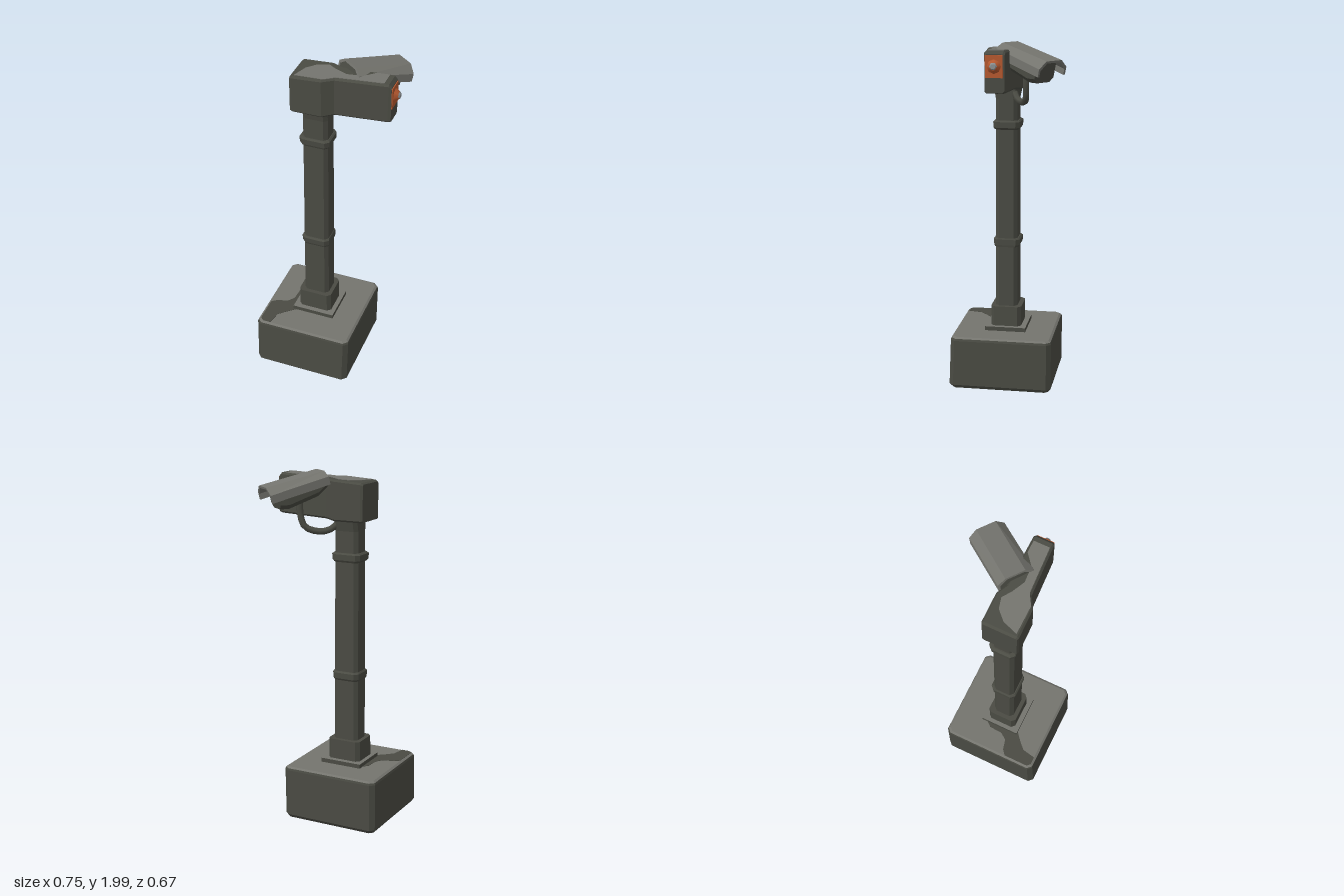
import * as THREE from 'three';

const paint = (name, color) => {
  const m = new THREE.MeshStandardMaterial({ color });
  m.name = name;
  return m;
};

// Chamfered rectangular sections [t, u0, u1, v0, v1, chamfer] joined along an axis.
// (t, u, v) is (x, y, z), (y, z, x) or (z, x, y).
function loft(axis, sections) {
  const place = { x: (t, u, v) => [t, u, v], y: (t, u, v) => [v, t, u], z: (t, u, v) => [u, v, t] }[axis];
  const rings = sections.map(([t, u0, u1, v0, v1, c]) => [
    [u1, v0 + c], [u1, v1 - c], [u1 - c, v1], [u0 + c, v1],
    [u0, v1 - c], [u0, v0 + c], [u0 + c, v0], [u1 - c, v0],
  ].map(([u, v]) => place(t, u, v)));
  const pos = [];
  const tri = (a, b, c) => pos.push(...a, ...b, ...c);
  for (let k = 0; k < rings.length - 1; k++) {
    const a = rings[k], b = rings[k + 1];
    for (let i = 0; i < 8; i++) {
      const j = (i + 1) % 8;
      tri(a[i], a[j], b[j]);
      tri(a[i], b[j], b[i]);
    }
  }
  const first = rings[0], last = rings[rings.length - 1];
  for (let i = 1; i < 7; i++) {
    tri(first[0], first[i + 1], first[i]);
    tri(last[0], last[i], last[i + 1]);
  }
  const g = new THREE.BufferGeometry();
  g.setAttribute('position', new THREE.Float32BufferAttribute(pos, 3));
  g.computeVertexNormals();
  return g;
}

// Thin horizontal patch from [x, z] outline points
function patch(points, depth = 0.004) {
  const shape = new THREE.Shape(points.map(([x, z]) => new THREE.Vector2(x, -z)));
  return new THREE.ExtrudeGeometry(shape, { depth, bevelEnabled: false }).rotateX(-Math.PI / 2);
}

export function createModel() {
  const dark = paint('dark olive metal', 0x4a4b43);
  const grey = paint('weathered grey', 0x74746e);
  const orange = paint('orange lamp', 0xb5582f);
  const glass = paint('lamp glass', 0x8c9092);

  const model = new THREE.Group();
  const add = (name, geometry, material, parent = model) => {
    const mesh = new THREE.Mesh(geometry, material);
    mesh.name = name;
    parent.add(mesh);
    return mesh;
  };

  // Heavy base block with softened edges and a worn top
  add('base', loft('y', [
    [0, -0.24, 0.32, -0.365, 0.18, 0.02],
    [0.02, -0.255, 0.337, -0.378, 0.193, 0.025],
    [0.29, -0.255, 0.325, -0.378, 0.197, 0.025],
    [0.302, -0.252, 0.322, -0.374, 0.193, 0.025],
  ]), dark);
  add('baseTop', loft('y', [
    [0.302, -0.252, 0.322, -0.374, 0.193, 0.025],
    [0.31, -0.24, 0.31, -0.362, 0.181, 0.02],
  ]), grey);
  add('baseStain', patch([
    [-0.361, 0.14], [-0.33, 0.115], [-0.27, 0.1], [-0.24, 0.06], [-0.235, -0.02], [-0.2, -0.06],
    [-0.18, 0.14], [-0.24, 0.19], [-0.28, 0.23], [-0.295, 0.309], [-0.342, 0.309], [-0.361, 0.29],
  ], 0.002), dark).position.y = 0.31;

  // Foot plate and collar
  const plate = new THREE.BoxGeometry(0.25, 0.024, 0.235);
  add('footPlate', plate, [dark, dark, grey, dark, dark, dark]).position.set(-0.085, 0.322, 0.031);
  add('collar', loft('y', [
    [0.33, -0.056, 0.12, -0.186, 0.014, 0.02],
    [0.45, -0.056, 0.12, -0.184, 0.012, 0.02],
  ]), dark);

  // Square post with two bands
  add('post', loft('y', [
    [0.44, -0.03, 0.096, -0.16, -0.01, 0.02],
    [1.66, -0.03, 0.094, -0.155, -0.012, 0.02],
    [1.73, -0.045, 0.105, -0.155, -0.012, 0.02],
  ]), dark);
  for (const [y, grow] of [[0.83, 0], [1.513, 0.006]]) {
    add('postBand', loft('y', [
      [y - 0.026, -0.036, 0.1, -0.162, -0.008, 0.02],
      [y - 0.015, -0.043, 0.105, -0.166 - grow, -0.006 + grow, 0.022],
      [y + 0.018, -0.045, 0.108, -0.168 - grow, -0.005 + grow, 0.022],
      [y + 0.026, -0.036, 0.1, -0.162, -0.008, 0.02],
    ]), dark);
  }

  // Head housing narrowing into the side arm
  add('head', loft('x', [
    [-0.203, 1.718, 1.925, -0.055, 0.138, 0.008],
    [-0.19, 1.715, 1.933, -0.06, 0.144, 0.01],
    [-0.025, 1.715, 1.943, -0.06, 0.142, 0.01],
    [0.035, 1.722, 1.946, -0.03, 0.105, 0.01],
    [0.325, 1.735, 1.962, -0.022, 0.092, 0.01],
    [0.341, 1.74, 1.945, -0.018, 0.088, 0.01],
  ]), dark);
  const worn = add('headTopWear', patch([
    [-0.18, 0.125], [-0.15, 0.04], [-0.1, -0.01], [-0.04, -0.025], [0.01, 0.01], [0.08, 0.045],
    [0.17, 0.04], [0.23, -0.01], [0.3, -0.01], [0.3, 0.08], [0.04, 0.092], [-0.02, 0.128],
  ]), grey);
  worn.position.y = 1.943;
  worn.rotation.z = 0.057;

  // Signal lamp on the arm end
  add('lampPlate', new THREE.BoxGeometry(0.008, 0.12, 0.095), orange).position.set(0.342, 1.88, 0.038);
  const lamp = add('lamp', new THREE.CylinderGeometry(0.018, 0.04, 0.026, 8), orange);
  lamp.rotation.z = -Math.PI / 2;
  lamp.position.set(0.357, 1.88, 0.038);
  const lens = add('lampGlass', new THREE.CylinderGeometry(0.014, 0.022, 0.008, 6), glass);
  lens.rotation.z = -Math.PI / 2;
  lens.position.set(0.371, 1.882, 0.038);

  // Bent bracket carrying the camera
  const path = new THREE.CatmullRomCurve3([
    [-0.04, 1.71, -0.01], [0.0, 1.67, -0.03], [0.05, 1.655, -0.065],
    [0.13, 1.68, -0.1], [0.155, 1.74, -0.105], [0.16, 1.85, -0.105],
  ].map((p) => new THREE.Vector3(...p)));
  add('bracket', new THREE.TubeGeometry(path, 12, 0.019, 6), dark);

  // Camera: angled hood over a boxy body, facing back and down
  const camera = new THREE.Group();
  camera.name = 'securityCamera';
  camera.position.set(0.085, 1.999, -0.01);
  camera.lookAt(0.085 + 0.62, 1.999 - 0.26, -0.01 - 0.785);
  model.add(camera);

  const outer = [[-0.1, -0.085], [-0.1, -0.04], [-0.055, 0], [0.055, 0], [0.1, -0.04], [0.1, -0.085]];
  const inner = outer.map(([x, y]) => [x * 0.88, y === -0.085 ? y : y - 0.012]).reverse();
  const arch = new THREE.Shape([...outer, ...inner].reverse().map(([x, y]) => new THREE.Vector2(x, y)));
  const hood = new THREE.ExtrudeGeometry(arch, { depth: 0.35, bevelEnabled: false });
  // Drop the rear edge of the hood
  const p = hood.attributes.position;
  for (let i = 0; i < p.count; i++) {
    if (p.getZ(i) < 0.01 && p.getY(i) > -0.03) p.setY(i, p.getY(i) - 0.012);
  }
  hood.computeVertexNormals();
  add('cameraHood', hood, grey, camera);
  add('cameraBody', loft('z', [
    [0.004, -0.088, 0.088, -0.1, -0.02, 0.025],
    [0.07, -0.08, 0.08, -0.135, -0.012, 0.025],
    [0.25, -0.075, 0.075, -0.152, -0.012, 0.025],
    [0.3, -0.07, 0.07, -0.14, -0.014, 0.025],
  ]), dark, camera);

  return model;
}
